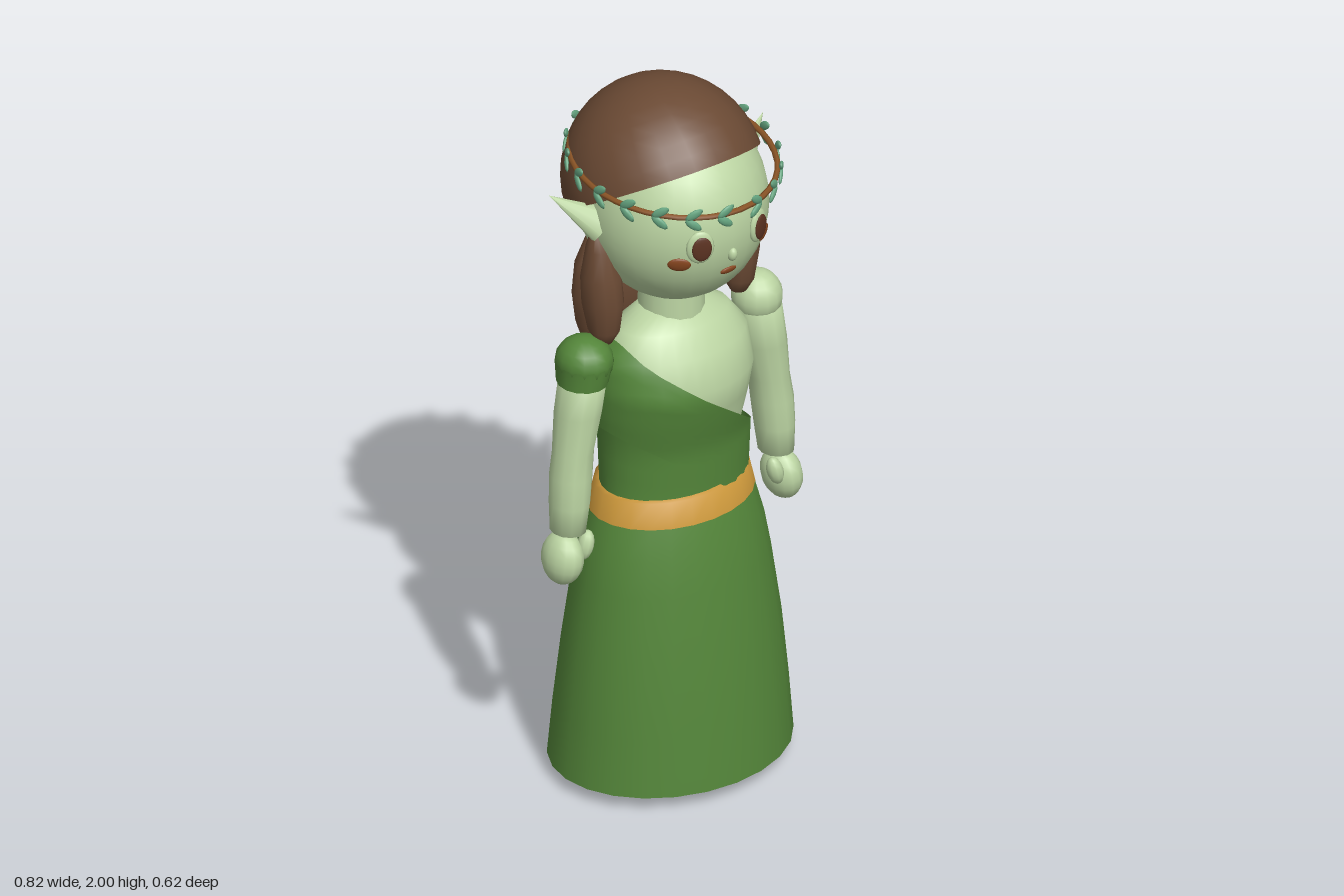
import * as THREE from 'three';

const mat = (name, color, side = THREE.FrontSide) => {
  const m = new THREE.MeshStandardMaterial({ color, side });
  m.name = name;
  return m;
};

// Closed-around grid: fn(angle, t) gives a point; rows run from bottom to top.
function tube(rows, segs, fn, capped = false) {
  const pos = [], idx = [];
  for (let i = 0; i <= rows; i++)
    for (let j = 0; j < segs; j++) pos.push(...fn((j / segs) * Math.PI * 2, i / rows));
  for (let i = 0; i < rows; i++)
    for (let j = 0; j < segs; j++) {
      const k = (j + 1) % segs;
      const a = i * segs + j, b = i * segs + k, c = b + segs, d = a + segs;
      idx.push(a, b, c, a, c, d);
    }
  if (capped) {
    for (const row of [0, rows]) {
      const centre = [0, 0, 0], at = pos.length / 3;
      for (let j = 0; j < segs; j++)
        for (let n = 0; n < 3; n++) centre[n] += pos[(row * segs + j) * 3 + n] / segs;
      pos.push(...centre);
      for (let j = 0; j < segs; j++) {
        const a = row * segs + j, b = row * segs + ((j + 1) % segs);
        idx.push(...(row ? [at, a, b] : [at, b, a]));
      }
    }
  }
  const g = new THREE.BufferGeometry();
  g.setAttribute('position', new THREE.Float32BufferAttribute(pos, 3));
  g.setIndex(idx);
  g.computeVertexNormals();
  return g;
}

// Elliptical sections [y, cx, cz, rx, rz], bottom to top.
const loft = (s, segs, capped = true, side = 1) =>
  tube(s.length - 1, segs, (a, t) => {
    const [y, cx, cz, rx, rz] = s[Math.round(t * (s.length - 1))];
    return [side * cx + rx * Math.sin(a), y, cz + rz * Math.cos(a)];
  }, capped);

const TORSO = [
  [0.8, 0, 0, 0.2, 0.14], [0.86, 0, 0, 0.195, 0.14], [1.0, 0, 0, 0.2, 0.147],
  [1.1, 0, 0.008, 0.215, 0.165], [1.18, 0, 0.018, 0.22, 0.172], [1.27, 0, 0.012, 0.21, 0.145],
  [1.33, 0, 0.005, 0.165, 0.105], [1.37, 0, 0, 0.09, 0.07],
];
const torsoAt = (y) => {
  let i = 0;
  while (i < TORSO.length - 2 && TORSO[i + 1][0] < y) i++;
  const a = TORSO[i], b = TORSO[i + 1];
  const t = THREE.MathUtils.clamp((y - a[0]) / (b[0] - a[0]), 0, 1);
  return a.map((v, n) => v + (b[n] - v) * t);
};
// Cloth following the torso between two height rules.
const wrap = (low, high, off) =>
  tube(10, 28, (a, t) => {
    const x = 0.22 * Math.sin(a);
    const y = THREE.MathUtils.lerp(low(x), high(x), t);
    const [, , cz, rx, rz] = torsoAt(y);
    return [(rx + off) * Math.sin(a), y, cz + (rz + off) * Math.cos(a)];
  });

const HEAD = { c: new THREE.Vector3(0, 1.68, 0.01), r: new THREE.Vector3(0.245, 0.27, 0.255) };

export function createModel() {
  const root = new THREE.Group();
  const skin = mat('skin', 0xbcd5a3);
  const hair = mat('hair', 0x6b4a34, THREE.DoubleSide);
  const dress = mat('dress', 0x54863a, THREE.DoubleSide);
  const gold = mat('belt gold', 0xcf9a3c, THREE.DoubleSide);
  const vine = mat('vine', 0x8a5426);
  const leafGreen = mat('leaf', 0x68a883);
  const eyeBrown = mat('eye brown', 0x5c3322);
  const rust = mat('rust', 0x87461f);

  const add = (name, geometry, material, parent = root) => {
    const m = new THREE.Mesh(geometry, material);
    m.name = name;
    parent.add(m);
    return m;
  };
  const ball = (name, material, p, r, w = 14, h = 10, parent = root) => {
    const m = add(name, new THREE.SphereGeometry(1, w, h), material, parent);
    m.position.set(...p);
    m.scale.set(...r);
    return m;
  };

  // Head, neck and hair
  ball('head', skin, HEAD.c.toArray(), HEAD.r.toArray(), 28, 20);
  add('neck', new THREE.CylinderGeometry(0.085, 0.09, 0.18, 16), skin).position.set(0, 1.39, 0);
  const cap = add('hairCap', new THREE.SphereGeometry(1, 24, 10, 0, Math.PI * 2, 0, Math.PI / 2), hair);
  cap.scale.set(0.262, 0.275, 0.28);
  cap.position.set(0, 1.725, -0.035);
  cap.rotation.x = -0.55;
  add('backHair', loft([
    [1.18, 0, -0.175, 0.11, 0.025], [1.21, 0, -0.17, 0.155, 0.048], [1.28, 0, -0.16, 0.185, 0.07],
    [1.37, 0, -0.15, 0.2, 0.09], [1.46, 0, -0.15, 0.19, 0.088], [1.55, 0, -0.145, 0.155, 0.06],
    [1.59, 0, -0.14, 0.09, 0.025],
  ], 16), hair);

  // Small face part lying on the head surface
  const onFace = (name, material, x, y, w, h, depth, lift = 0) => {
    const dx = x / HEAD.r.x, dy = (y - HEAD.c.y) / HEAD.r.y;
    const dz = Math.sqrt(1 - dx * dx - dy * dy);
    const n = new THREE.Vector3(dx / HEAD.r.x, dy / HEAD.r.y, dz / HEAD.r.z).normalize();
    const p = new THREE.Vector3(x, y, HEAD.c.z + dz * HEAD.r.z).addScaledVector(n, lift);
    const m = ball(name, material, p.toArray(), [w, h, depth]);
    m.quaternion.setFromUnitVectors(new THREE.Vector3(0, 0, 1), n);
  };
  onFace('nose', skin, 0, 1.625, 0.013, 0.02, 0.014);
  onFace('mouth', rust, 0, 1.57, 0.026, 0.011, 0.006);

  for (const s of [1, -1]) {
    const side = s > 0 ? 'left' : 'right';
    onFace(side + 'Eye', skin, s * 0.094, 1.672, 0.038, 0.048, 0.012);
    onFace(side + 'Iris', eyeBrown, s * 0.092, 1.672, 0.027, 0.036, 0.006, 0.011);
    onFace(side + 'Cheek', rust, s * 0.138, 1.62, 0.031, 0.021, 0.007);

    // Pointed ear
    const base = new THREE.Vector3(s * 0.225, 1.672, -0.005);
    const tip = new THREE.Vector3(s * 0.35, 1.775, -0.065);
    const ear = add(side + 'Ear', new THREE.ConeGeometry(0.05, base.distanceTo(tip), 10), skin);
    ear.position.copy(base).lerp(tip, 0.5);
    ear.quaternion.setFromUnitVectors(new THREE.Vector3(0, 1, 0), tip.sub(base).normalize());
    ear.scale.z = 0.6;

    add(side + 'Lock', loft([
      [1.32, 0.22, 0, 0.022, 0.022], [1.36, 0.22, 0, 0.042, 0.045], [1.44, 0.222, -0.003, 0.054, 0.06],
      [1.52, 0.226, -0.006, 0.053, 0.057], [1.6, 0.23, -0.01, 0.035, 0.038], [1.65, 0.235, -0.015, 0.015, 0.015],
    ], 12, true, s), hair);

    // Arm and hand
    ball(side + 'Shoulder', skin, [s * 0.282, 1.28, -0.003], [0.068, 0.072, 0.07]);
    add(side + 'Arm', loft([
      [0.8, 0.34, 0.003, 0.046, 0.052], [0.88, 0.335, 0.003, 0.053, 0.058], [0.96, 0.329, 0, 0.056, 0.06],
      [1.03, 0.32, -0.002, 0.054, 0.058], [1.14, 0.302, -0.004, 0.063, 0.066], [1.25, 0.284, -0.004, 0.064, 0.068],
    ], 12, true, s), skin);
    ball(side + 'Hand', skin, [s * 0.358, 0.72, 0.003], [0.05, 0.074, 0.066]).rotation.z = s * 0.12;
    ball(side + 'Thumb', skin, [s * 0.31, 0.757, 0.038], [0.022, 0.042, 0.024], 10, 8).rotation.z = s * 0.25;

    // Leg and foot
    add(side + 'Leg', loft([
      [0.09, 0.113, -0.01, 0.042, 0.044], [0.14, 0.113, -0.01, 0.04, 0.042],
      [0.28, 0.112, -0.01, 0.055, 0.06], [0.42, 0.11, 0, 0.055, 0.058], [0.78, 0.1, 0, 0.08, 0.085],
    ], 12, true, s), skin);
    add(side + 'Foot', loft([
      [0, 0.113, 0.06, 0.056, 0.112], [0.04, 0.113, 0.058, 0.058, 0.114],
      [0.08, 0.113, 0.025, 0.05, 0.075], [0.12, 0.113, -0.008, 0.042, 0.046],
    ], 14, true, s), skin);
  }
  // Sleeve over one shoulder
  ball('sleeve', dress, [-0.282, 1.285, -0.003], [0.076, 0.068, 0.08]);
  add('sleeveCuff', loft([[1.225, 0.289, -0.003, 0.066, 0.072], [1.285, 0.282, -0.003, 0.076, 0.08]], 14, false, -1), dress);

  // Torso and dress
  add('torso', loft(TORSO, 28), skin);
  const neckline = (x) => 1.14 - 0.83 * x;
  add('bodice', wrap(() => 0.82, (x) => neckline(x) - 0.03, 0.011), dress);
  add('sash', wrap((x) => Math.max(0.84, 0.9 - 0.76 * x), neckline, 0.026), dress);
  add('skirt', loft([
    [0.04, 0, -0.005, 0.34, 0.284], [0.2, 0, -0.003, 0.328, 0.268], [0.4, 0, 0, 0.308, 0.245],
    [0.6, 0, 0, 0.28, 0.217], [0.7, 0, 0, 0.262, 0.2], [0.78, 0, 0, 0.239, 0.18], [0.86, 0, 0, 0.215, 0.158],
  ], 24, false), dress);
  add('belt', loft([[0.79, 0, 0, 0.237, 0.182], [0.86, 0, 0, 0.222, 0.166], [0.862, 0, 0, 0.2, 0.145]], 24, false), gold);

  // Leafy circlet, tilted down to the front
  const crown = new THREE.Group();
  crown.name = 'circlet';
  crown.position.set(0, 1.803, 0.008);
  crown.rotation.x = 0.1;
  root.add(crown);
  const RX = 0.262, RZ = 0.286;
  const ring = new THREE.CatmullRomCurve3(Array.from({ length: 20 }, (_, i) => {
    const a = (i / 20) * Math.PI * 2;
    return new THREE.Vector3(RX * Math.sin(a), 0, RZ * Math.cos(a));
  }), true);
  add('vine', new THREE.TubeGeometry(ring, 40, 0.008, 6, true), vine, crown);
  for (const s of [1, -1])
    for (let i = 0; i < 9; i++) {
      const a = s * THREE.MathUtils.degToRad(12 + 18 * i);
      const sprig = new THREE.Group();
      sprig.name = 'sprig';
      sprig.position.set((RX + 0.006) * Math.sin(a), 0, (RZ + 0.006) * Math.cos(a));
      sprig.rotation.y = a;
      crown.add(sprig);
      for (const up of [1, -1]) {
        const leaf = ball('leaf', leafGreen, [-s * 0.006, up * 0.016, 0.004], [0.027, 0.012, 0.006], 8, 6, sprig);
        leaf.rotation.z = -s * up * 0.65;
      }
    }
  return root;
}
